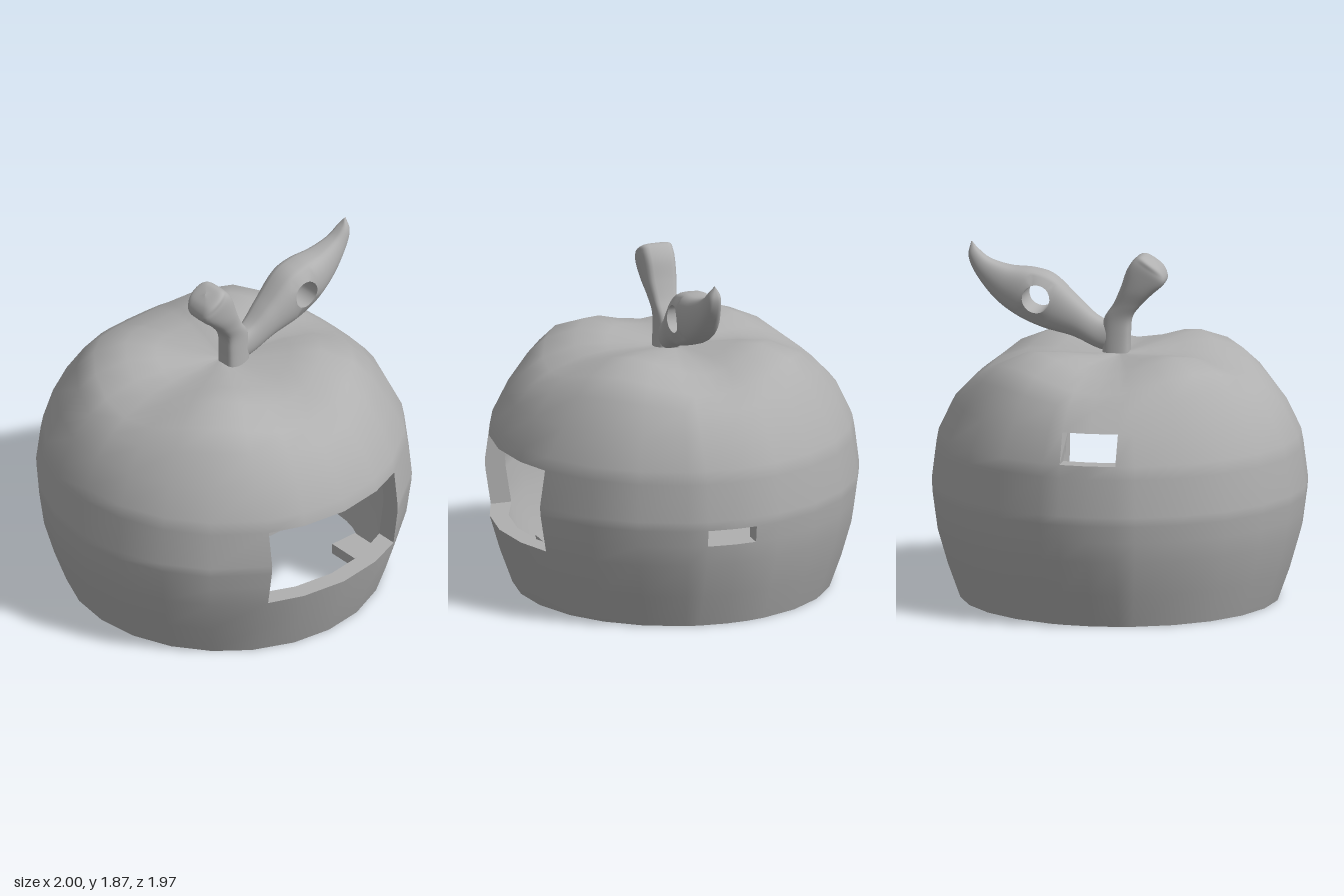
import * as THREE from 'three';

const grey = new THREE.MeshStandardMaterial({ color: 0xb0b0b0, side: THREE.DoubleSide });
grey.name = 'plain grey';

function meshFrom(name, positions, index) {
  const geo = new THREE.BufferGeometry();
  geo.setAttribute('position', new THREE.Float32BufferAttribute(positions, 3));
  if (index) geo.setIndex(index);
  geo.computeVertexNormals();
  const mesh = new THREE.Mesh(geo, grey);
  mesh.name = name;
  return mesh;
}

// Shell profile rows, bottom to top:
// outer radius, outer y, inner radius, inner y, extra height on the four diagonal lobes
const ROWS = [
  [0.85, 0, 0.76, 0, 0], [0.915, 0.18, 0.82, 0.18, 0], [0.97, 0.37, 0.87, 0.37, 0],
  [0.985, 0.48, 0.885, 0.48, 0], [0.997, 0.57, 0.897, 0.57, 0], [1, 0.62, 0.9, 0.62, 0],
  [0.975, 0.82, 0.875, 0.82, 0], [0.962, 0.89, 0.86, 0.89, 0], [0.885, 1.05, 0.775, 1.05, 0],
  [0.785, 1.155, 0.68, 1.1, 0.06], [0.69, 1.22, 0.6, 1.13, 0.09], [0.52, 1.285, 0.45, 1.18, 0.088],
  [0.355, 1.307, 0.33, 1.2, 0.045], [0.17, 1.307, 0.17, 1.205, 0.015], [0, 1.305, 0, 1.205, 0],
];

// Openings: facing angles of the two edges, sideways offsets, bottom and top row
const OPENINGS = [
  { name: 'window', base: [0, 0], off: [-0.44, 0.44], rows: [2, 6] },
  { name: 'sideSlot', base: [90, 90], off: [-0.15, 0.12], rows: [3, 4] },
  { name: 'backSlot', base: [180, -180], off: [-0.15, 0.15], rows: [7, 8] },
];

const columnAngle = (col, r) =>
  THREE.MathUtils.degToRad(col.base) + Math.asin(col.off / THREE.MathUtils.clamp(r, 0.86, 1));

function makeShell() {
  const group = new THREE.Group();
  group.name = 'hollowApple';

  // 24 regular columns plus one along each opening edge
  const edges = OPENINGS.flatMap((o) => o.base.map((base, i) => ({ base, off: o.off[i] })));
  const nominal = (c) => THREE.MathUtils.radToDeg(columnAngle(c, 0.95));
  const cols = [...edges];
  for (let a = -180; a < 180; a += 15) {
    if (edges.every((e) => Math.abs(nominal(e) - a) > 5)) cols.push({ base: a, off: 0 });
  }
  cols.sort((a, b) => nominal(a) - nominal(b));
  const n = cols.length;

  const holes = OPENINGS.map((o, i) => {
    const c0 = cols.indexOf(edges[2 * i]);
    let c1 = cols.indexOf(edges[2 * i + 1]);
    if (c1 < c0) c1 += n;
    return { name: o.name, c0, c1, r0: o.rows[0], r1: o.rows[1] };
  });
  const isOpen = (c, r) => holes.some((h) =>
    r >= h.r0 && r < h.r1 && ((c >= h.c0 && c < h.c1) || (c + n >= h.c0 && c + n < h.c1)));

  // The front bulges slightly more than the back
  const point = (c, r, inner) => {
    const [radius, y] = ROWS[r].slice(inner ? 2 : 0);
    const a = columnAngle(cols[c % n], radius);
    const z = radius * Math.cos(a);
    return [radius * Math.sin(a), y + ROWS[r][4] * Math.sin(2 * a) ** 2, z * (z > 0 ? 1.01 : 0.985)];
  };

  // Outer skin and inner wall
  for (const inner of [false, true]) {
    const pos = [], index = [];
    for (let r = 0; r < ROWS.length; r++) for (let c = 0; c < n; c++) pos.push(...point(c, r, inner));
    for (let r = 0; r < ROWS.length - 1; r++) {
      for (let c = 0; c < n; c++) {
        if (isOpen(c, r)) continue;
        const a = r * n + c, b = r * n + (c + 1) % n, d = b + n, e = a + n;
        if (inner) index.push(a, d, b, a, e, d);
        else index.push(a, b, d, a, d, e);
      }
    }
    group.add(meshFrom(inner ? 'innerWall' : 'outerSkin', pos, index));
  }

  // Flat strips joining the two skins
  const strip = (pos, ca, ra, cb, rb) => {
    const a = point(ca, ra, false), b = point(cb, rb, false);
    const c = point(cb, rb, true), d = point(ca, ra, true);
    pos.push(...a, ...d, ...c, ...a, ...c, ...b);
  };
  const rim = [];
  for (let c = 0; c < n; c++) strip(rim, c, 0, c + 1, 0);
  group.add(meshFrom('bottomRim', rim));
  for (const h of holes) {
    const pos = [];
    for (let c = h.c0; c < h.c1; c++) {
      strip(pos, c + 1, h.r0, c, h.r0);
      strip(pos, c, h.r1, c + 1, h.r1);
    }
    for (let r = h.r0; r < h.r1; r++) {
      strip(pos, h.c0, r, h.c0, r + 1);
      strip(pos, h.c1, r + 1, h.c1, r);
    }
    group.add(meshFrom(h.name + 'Frame', pos));
  }
  return group;
}

// Rounded body lofted between two edge curves.
// Stations: x, y of one edge, x, y of the other edge, half thickness
function loft(name, stations, power, hole) {
  const edgeCurve = (k) => new THREE.CatmullRomCurve3(
    stations.map((s) => new THREE.Vector3(s[k], s[k + 1], s[4])), false, 'catmullrom');
  const edgeA = edgeCurve(0), edgeB = edgeCurve(2);
  const nu = (stations.length - 1) * 8, nv = 16, ring = nv * 2, half = 4;
  const pos = [], index = [];

  for (let i = 0; i <= nu; i++) {
    const a = edgeA.getPoint(i / nu), b = edgeB.getPoint(i / nu);
    for (let k = 0; k < ring; k++) {
      const t = -Math.PI / 2 + (k * Math.PI) / nv;
      const p = a.clone().lerp(b, (1 + Math.sin(t)) / 2);
      let across = Math.sin(t);
      if (hole) {
        // the grid ring around the hole is drawn onto its circle
        const dk = Math.min(Math.abs(k - nv / 2), Math.abs(k - nv * 1.5));
        if (Math.max(Math.abs(i - hole.i), dk) === half) {
          const d = new THREE.Vector2(p.x - hole.x, p.y - hole.y);
          across *= hole.r / d.length();
          d.setLength(hole.r);
          p.x = hole.x + d.x;
          p.y = hole.y + d.y;
        }
      }
      const side = k <= nv ? 1 : -1;
      p.z = side * Math.max(a.z, 0) * Math.max(0, 1 - across * across) ** (power / 2);
      pos.push(p.x, p.y, p.z);
    }
  }
  for (let i = 0; i < nu; i++) {
    for (let k = 0; k < ring; k++) {
      const dk = Math.min(Math.abs(k + 0.5 - nv / 2), Math.abs(k + 0.5 - nv * 1.5));
      if (hole && Math.abs(i + 0.5 - hole.i) < half && dk < half) continue;
      const a = i * ring + k, b = i * ring + (k + 1) % ring;
      index.push(a, a + ring, b + ring, a, b + ring, b);
    }
  }
  const group = new THREE.Group();
  group.name = name;
  group.add(meshFrom(name + 'Body', pos, index));

  // Wall of the hole, front edge to back edge
  if (hole) {
    const loop = [], wall = [], wallIndex = [];
    for (let s = -half; s < half; s++) loop.push([s, -half]);
    for (let s = -half; s < half; s++) loop.push([half, s]);
    for (let s = half; s > -half; s--) loop.push([s, half]);
    for (let s = half; s > -half; s--) loop.push([-half, s]);
    loop.forEach(([di, dk], m) => {
      for (const k of [nv / 2 + dk, nv * 1.5 - dk]) {
        const at = ((hole.i + di) * ring + k) * 3;
        wall.push(pos[at], pos[at + 1], pos[at + 2]);
      }
      const a = 2 * m, b = 2 * ((m + 1) % loop.length);
      wallIndex.push(a, b, b + 1, a, b + 1, a + 1);
    });
    group.add(meshFrom(name + 'Hole', wall, wallIndex));
  }
  group.position.z = 0.055;
  return group;
}

function box(name, x0, x1, y0, y1, z0, z1) {
  const mesh = new THREE.Mesh(new THREE.BoxGeometry(x1 - x0, y1 - y0, z1 - z0), grey);
  mesh.position.set((x0 + x1) / 2, (y0 + y1) / 2, (z0 + z1) / 2);
  mesh.name = name;
  return mesh;
}

export function createModel() {
  const model = new THREE.Group();
  model.name = 'appleHouse';
  model.add(makeShell());

  model.add(loft('stem', [
    [0.1, 1.27, -0.045, 1.27, 0.07], [0.1, 1.4, -0.045, 1.4, 0.065],
    [0.09, 1.49, -0.055, 1.49, 0.065], [0.04, 1.57, -0.105, 1.56, 0.075],
    [0, 1.66, -0.17, 1.625, 0.09], [-0.035, 1.76, -0.225, 1.675, 0.097],
    [-0.075, 1.815, -0.24, 1.715, 0.097], [-0.115, 1.833, -0.22, 1.765, 0.085],
    [-0.165, 1.815, -0.175, 1.81, 0],
  ], 0.4));

  model.add(loft('leaf', [
    [0, 1.3, 0, 1.45, 0.05], [0.12, 1.32, 0.12, 1.487, 0.065],
    [0.26, 1.383, 0.23, 1.58, 0.09], [0.42, 1.425, 0.36, 1.7, 0.115],
    [0.56, 1.485, 0.47, 1.737, 0.112], [0.68, 1.57, 0.6, 1.747, 0.085],
    [0.78, 1.69, 0.71, 1.78, 0.055], [0.825, 1.79, 0.775, 1.83, 0.035],
    [0.813, 1.87, 0.807, 1.87, 0],
  ], 0.6, { i: 28, x: 0.445, y: 1.59, r: 0.075 }));

  // Inner shelf and the two small tabs behind the front wall
  model.add(box('shelf', -0.73, 0.73, 0.32, 0.365, -0.42, 0.34));
  for (const s of [-1, 1]) {
    const x = [0.42 * s, 0.58 * s].sort((a, b) => a - b);
    model.add(box(s > 0 ? 'leftTab' : 'rightTab', x[0], x[1], 0.07, 0.13, 0.4, 0.58));
  }
  return model;
}
